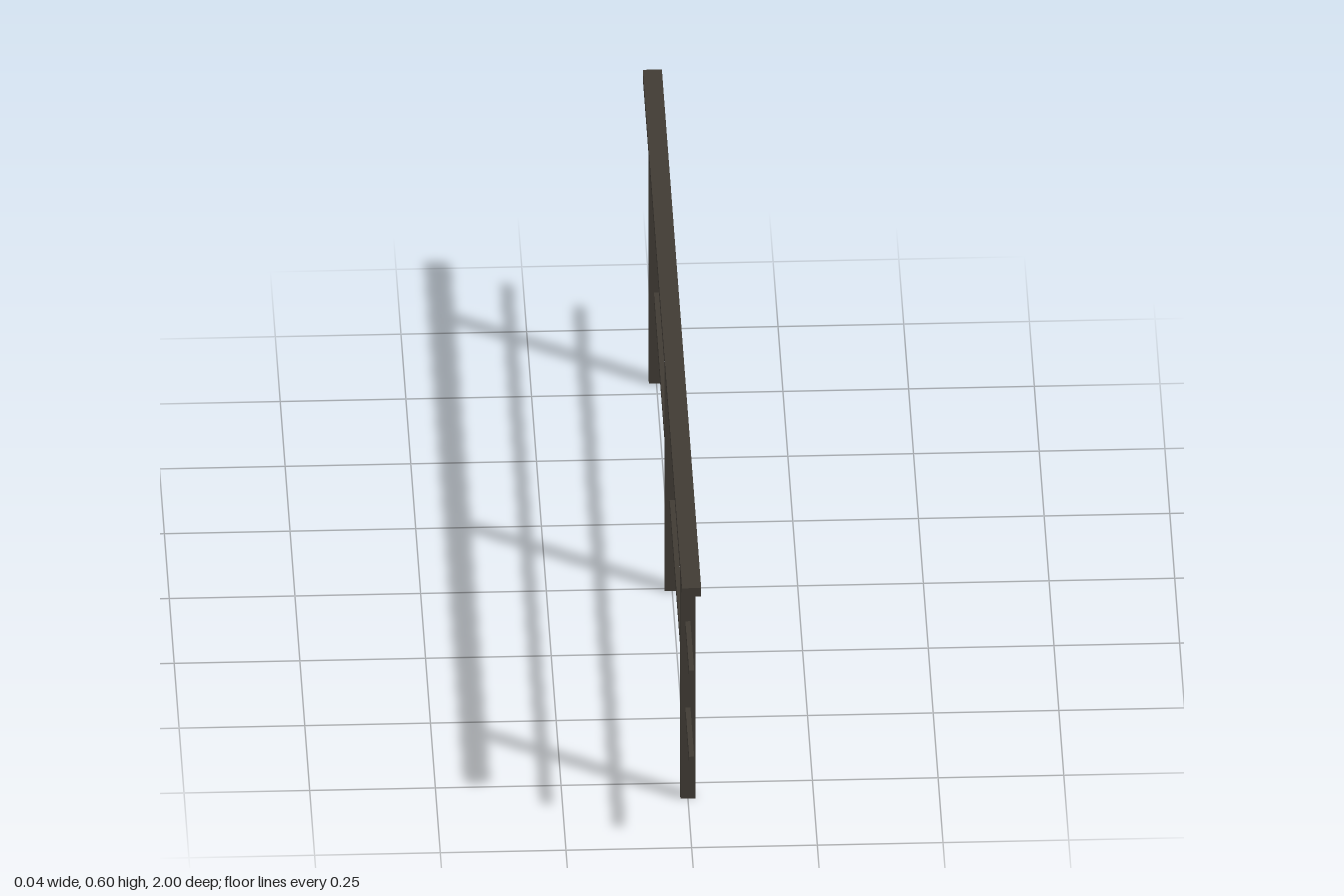
import * as THREE from 'three';

export function createModel() {
  const group = new THREE.Group();
  const darkBronze = new THREE.MeshStandardMaterial({ color: 0x403b34 });
  darkBronze.name = 'darkBronze';

  // Box whose base sits at height y
  const addBar = (name, width, height, depth, y, z = 0) => {
    const mesh = new THREE.Mesh(new THREE.BoxGeometry(width, height, depth), darkBronze);
    mesh.name = name;
    mesh.position.set(0, y + height / 2, z);
    group.add(mesh);
  };

  // Wide handrail resting on the posts
  addBar('handrail', 0.038, 0.02, 2, 0.582);

  // Slim rails passing through the posts
  addBar('middleRail', 0.01, 0.02, 2, 0.391);
  addBar('lowerRail', 0.01, 0.02, 2, 0.191);

  // Three upright posts
  [['frontPost', 0.8], ['centrePost', 0], ['backPost', -0.8]].forEach(([name, z]) =>
    addBar(name, 0.03, 0.582, 0.02, 0, z));

  return group;
}
